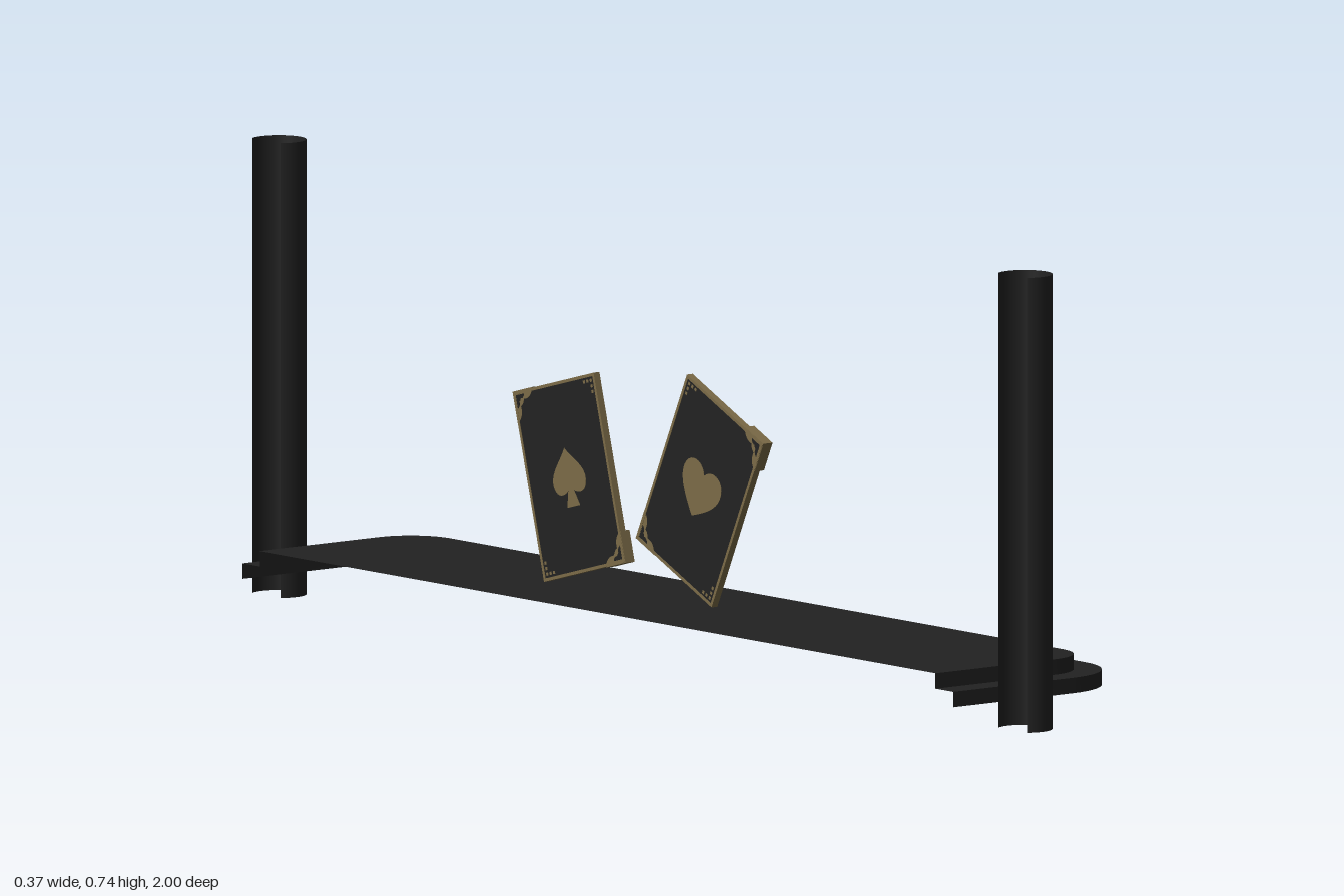
import * as THREE from 'three';
import { toCreasedNormals } from 'three/addons/utils/BufferGeometryUtils.js';

const black = new THREE.MeshStandardMaterial({ color: 0x222222, side: THREE.DoubleSide });
black.name = 'black';
const gold = new THREE.MeshStandardMaterial({ color: 0x7b6b47, side: THREE.DoubleSide });
gold.name = 'antique gold';

const BACK = -0.187, FRONT = 0.185, END = 0.91, RADIUS = 0.125;
const CARD_W = 0.214, CARD_H = 0.309;

function add(parent, name, geometry, material) {
  const mesh = new THREE.Mesh(geometry, material);
  mesh.name = name;
  parent.add(mesh);
  return mesh;
}

// Open outline of the shelf as (x, z), from the +z end round the front to the -z end
function outline(inset) {
  const r = RADIUS - inset, cx = FRONT - RADIUS, cz = END - RADIUS, n = 12;
  const pts = [new THREE.Vector2(BACK, END - inset)];
  for (const side of [1, -1]) {
    for (let i = 0; i <= n; i++) {
      const a = (Math.PI / 2) * (side > 0 ? 1 - i / n : -i / n);
      pts.push(new THREE.Vector2(cx + r * Math.cos(a), side * cz + r * Math.sin(a)));
    }
  }
  pts.push(new THREE.Vector2(BACK, -END + inset));
  return pts;
}

// Stepped edge: lower wall, ledge, upper wall
function edgeGeometry() {
  const rows = [[0, 0.04], [0, 0.065], [0.045, 0.065], [0.045, 0.09]];
  const pos = [], index = [];
  let n = 0;
  for (const [inset, y] of rows) {
    const pts = outline(inset);
    n = pts.length;
    pts.forEach(p => pos.push(p.x, y, p.y));
  }
  for (let r = 0; r < rows.length - 1; r++) {
    for (let i = 0; i < n - 1; i++) {
      const a = r * n + i, b = a + n;
      index.push(a, a + 1, b, a + 1, b + 1, b);
    }
  }
  const g = new THREE.BufferGeometry();
  g.setAttribute('position', new THREE.Float32BufferAttribute(pos, 3));
  g.setIndex(index);
  return toCreasedNormals(g, 0.6);
}

// Extrude centred on the card's thickness
function plate(shape, depth, z = 0) {
  const g = new THREE.ExtrudeGeometry(shape, { depth, bevelEnabled: false, curveSegments: 10 });
  return g.translate(0, 0, z - depth / 2);
}

function rectPoints(w, h) {
  return [[-1, -1], [1, -1], [1, 1], [-1, 1]].map(([x, y]) => new THREE.Vector2(x * w / 2, y * h / 2));
}

function heartShape(s) {
  const h = new THREE.Shape();
  h.moveTo(0, -0.9 * s);
  h.bezierCurveTo(0.45 * s, -0.55 * s, 1.05 * s, -0.1 * s, 0.98 * s, 0.4 * s);
  h.bezierCurveTo(0.9 * s, 0.95 * s, 0.2 * s, 0.95 * s, 0, 0.55 * s);
  h.bezierCurveTo(-0.2 * s, 0.95 * s, -0.9 * s, 0.95 * s, -0.98 * s, 0.4 * s);
  h.bezierCurveTo(-1.05 * s, -0.1 * s, -0.45 * s, -0.55 * s, 0, -0.9 * s);
  return h;
}

function spadeShape(s) {
  const p = new THREE.Shape();
  p.moveTo(0, s);
  p.bezierCurveTo(0.3 * s, 0.6 * s, 0.95 * s, 0.3 * s, 0.88 * s, -0.2 * s);
  p.bezierCurveTo(0.8 * s, -0.65 * s, 0.35 * s, -0.6 * s, 0.15 * s, -0.45 * s);
  p.lineTo(0.35 * s, -s);
  p.lineTo(-0.35 * s, -s);
  p.lineTo(-0.15 * s, -0.45 * s);
  p.bezierCurveTo(-0.35 * s, -0.6 * s, -0.8 * s, -0.65 * s, -0.88 * s, -0.2 * s);
  p.bezierCurveTo(-0.95 * s, 0.3 * s, -0.3 * s, 0.6 * s, 0, s);
  return p;
}

// Scalloped corner mount, its corner at the origin and legs toward +sx, +sy
function cornerShape(sx, sy, leg) {
  const c = new THREE.Shape();
  c.moveTo(0, 0);
  c.lineTo(sx * leg, 0);
  c.quadraticCurveTo(sx * leg * 0.85, sy * leg * 0.35, sx * leg * 0.5, sy * leg * 0.3);
  c.quadraticCurveTo(sx * leg * 0.45, sy * leg * 0.45, sx * leg * 0.3, sy * leg * 0.5);
  c.quadraticCurveTo(sx * leg * 0.35, sy * leg * 0.85, 0, sy * leg);
  c.closePath();
  return c;
}

// raised = 1 puts the mounts at top right and bottom left, -1 at the other two corners
function makeCard(name, symbol, raised) {
  const card = new THREE.Group();
  card.name = name;
  add(card, 'cardFace', new THREE.BoxGeometry(CARD_W - 0.008, CARD_H - 0.008, 0.0105), black);
  const rim = new THREE.Shape(rectPoints(CARD_W, CARD_H));
  rim.holes.push(new THREE.Path(rectPoints(CARD_W - 0.01, CARD_H - 0.01)));
  add(card, 'cardRim', plate(rim, 0.012), gold);
  add(card, 'suitSymbol', plate(symbol, 0.0118), gold);
  for (const sx of [1, -1]) {
    for (const sy of [1, -1]) {
      const x = sx * CARD_W / 2, y = sy * CARD_H / 2;
      if (sx * sy === raised) {
        const mount = add(card, 'cornerMount', plate(cornerShape(-sx, -sy, 0.052), 0.019, 0.004), gold);
        mount.position.set(x + sx * 0.001, y + sy * 0.001, 0);
        const inlay = add(card, 'cornerInlay', plate(cornerShape(-sx, -sy, 0.022), 0.0196, 0.004), black);
        inlay.position.set(x - sx * 0.006, y - sy * 0.006, 0);
      } else {
        // Flat filigree dots along the corner
        for (const [i, j] of [[1, 1], [2, 1], [1, 2], [3, 1], [1, 3]]) {
          const dot = add(card, 'filigree', new THREE.BoxGeometry(0.005, 0.005, 0.0116), gold);
          dot.position.set(x - sx * (0.002 + i * 0.009), y - sy * (0.002 + j * 0.009), 0);
        }
      }
    }
  }
  return card;
}

export function createModel() {
  const model = new THREE.Group();
  model.name = 'cardShelf';

  // Stepped shelf, open at the back and underneath
  const shelf = new THREE.Group();
  shelf.name = 'shelf';
  model.add(shelf);
  add(shelf, 'shelfEdge', edgeGeometry(), black);
  const top = new THREE.ShapeGeometry(new THREE.Shape(outline(0.045)));
  top.rotateX(-Math.PI / 2).translate(0, 0.09, 0);
  add(shelf, 'shelfTop', top, black);

  // Hollow posts with a slot along the back
  const gap = 0.98;
  for (const side of [1, -1]) {
    const g = new THREE.CylinderGeometry(0.045, 0.045, 0.737, 32, 1, true,
      1.5 * Math.PI + gap, 2 * (Math.PI - gap));
    add(model, 'post', g, black).position.set(-0.075, 0.3685, side * 0.955);
  }

  // Two tilted cards
  const heartCard = makeCard('heartCard', heartShape(0.052), -1);
  heartCard.position.set(-0.141, 0.307, 0.211);
  heartCard.rotation.set(0, Math.PI / 2, THREE.MathUtils.degToRad(25));
  const spadeCard = makeCard('spadeCard', spadeShape(0.048), 1);
  spadeCard.position.set(-0.141, 0.291, -0.123);
  spadeCard.rotation.set(0, Math.PI / 2, THREE.MathUtils.degToRad(-15));
  model.add(heartCard, spadeCard);

  return model;
}
